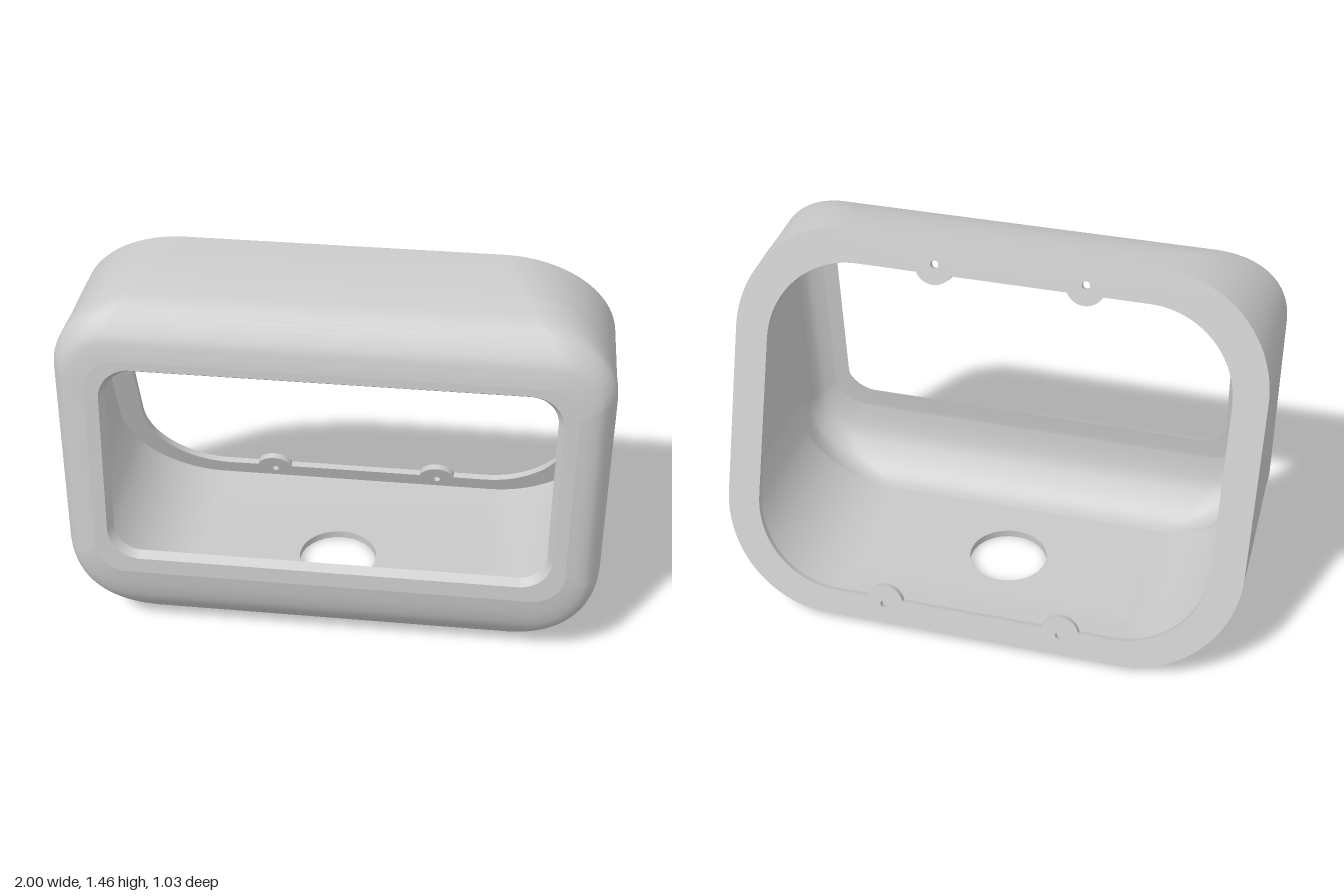
import * as THREE from 'three';
import { toCreasedNormals } from 'three/addons/utils/BufferGeometryUtils.js';

const ARC = 28;

// Ring = [half width, bottom z, bottom y, top z, top y, bottom corner radius, top corner radius]
function ringPoints([w, zb, yb, zt, yt, rb, rt]) {
  const len = Math.hypot(zt - zb, yt - yb);
  const corners = [[w - rb, rb, rb, -0.5], [w - rt, len - rt, rt, 0],
    [rt - w, len - rt, rt, 0.5], [rb - w, rb, rb, 1]];
  const pts = [];
  for (const [cx, cs, r, start] of corners) {
    for (let i = 0; i <= ARC; i++) {
      const a = (start + (0.5 * i) / ARC) * Math.PI;
      const t = (cs + r * Math.sin(a)) / len;
      pts.push(cx + r * Math.cos(a), yb + (yt - yb) * t, zb + (zt - zb) * t);
    }
  }
  return pts;
}

// Adds in-between rings on a spline through the rings from index first onwards
function smooth(rings, first, steps = 4) {
  const out = rings.slice(0, first + 1);
  for (let i = first; i < rings.length - 1; i++) {
    const p0 = rings[Math.max(i - 1, first)], p1 = rings[i], p2 = rings[i + 1];
    const p3 = rings[Math.min(i + 2, rings.length - 1)];
    for (let s = 1; s <= steps; s++) {
      const t = s / steps;
      out.push(p1.map((v, k) => {
        const m1 = (p2[k] - p0[k]) / 2, m2 = (p3[k] - v) / 2, d = p2[k] - v;
        return v + m1 * t + (3 * d - 2 * m1 - m2) * t * t + (m1 + m2 - 2 * d) * t * t * t;
      }));
    }
  }
  return out;
}

// Smooth skin through a list of rings; skip = ring span whose bottom flat is left open
function loft(rings, skip = -1) {
  const n = 4 * (ARC + 1), full = [], open = [];
  for (let i = 0; i < rings.length - 1; i++) {
    for (let j = 0; j < n; j++) {
      const k = (j + 1) % n;
      const a = i * n + j, b = i * n + k, c = a + n, d = b + n;
      full.push(a, b, d, a, d, c);
      if (i !== skip || j !== n - 1) open.push(a, b, d, a, d, c);
    }
  }
  const g = new THREE.BufferGeometry();
  g.setAttribute('position', new THREE.Float32BufferAttribute(rings.flatMap(ringPoints), 3));
  g.setIndex(full);
  g.computeVertexNormals();
  g.setIndex(open);
  return g;
}

function circle(x, y, r) {
  return new THREE.Path().absarc(x, y, r, 0, Math.PI * 2, false);
}

function extrude(shape, depth) {
  const g = new THREE.ExtrudeGeometry(shape, { depth, bevelEnabled: false, curveSegments: ARC / 2 });
  return toCreasedNormals(g, 0.5);
}

// Rounded rectangle with optional round screw bosses biting inwards from its bottom and top edges
function outline(path, w, s0, s1, r, bosses = []) {
  const boss = ({ x, s, r: br }, edge, top) => {
    const a = Math.asin(Math.abs(s - edge) / br);
    if (top) path.absarc(x, s, br, -a, -Math.PI + a, true);
    else path.absarc(x, s, br, Math.PI - a, a, true);
  };
  path.moveTo(r - w, s0);
  bosses.filter(b => b.s < 0).sort((a, b) => a.x - b.x).forEach(b => boss(b, s0, false));
  path.absarc(w - r, s0 + r, r, -Math.PI / 2, 0, false);
  path.absarc(w - r, s1 - r, r, 0, Math.PI / 2, false);
  bosses.filter(b => b.s > 0).sort((a, b) => b.x - a.x).forEach(b => boss(b, s1, true));
  path.absarc(r - w, s1 - r, r, Math.PI / 2, Math.PI, false);
  path.absarc(r - w, s0 + r, r, Math.PI, Math.PI * 1.5, false);
  return path;
}

export function createModel() {
  const model = new THREE.Group();
  model.name = 'displayHousing';
  const grey = new THREE.MeshStandardMaterial({ color: 0xc8c8c8 });
  grey.name = 'grey';
  const add = (name, geometry, parent = model) => {
    const mesh = new THREE.Mesh(geometry, grey);
    mesh.name = name;
    parent.add(mesh);
    return mesh;
  };

  // Outer skin, from the slanted back edge to the front face
  const outer = [
    [1, -0.515, 0.035, 0, 1.46, 0.43, 0.43],
    [1, -0.25, 0, 0.1, 1.45, 0.43, 0.4],
    [1, 0.3, 0, 0.2, 1.427, 0.43, 0.36],
    [1, 0.36, 0.02, 0.3, 1.39, 0.38, 0.3],
    [0.992, 0.42, 0.07, 0.36, 1.345, 0.3, 0.23],
    [0.957, 0.48, 0.15, 0.41, 1.28, 0.21, 0.17],
    [0.92, 0.507, 0.225, 0.428, 1.23, 0.16, 0.14],
    [0.87, 0.52, 0.31, 0.437, 1.19, 0.12, 0.12],
  ];
  add('outerShell', loft(smooth(outer, 2), 1));

  // Front face and chamfer of the window opening
  const chamferOut = [0.82, 0.514, 0.37, 0.44, 1.16, 0.12, 0.12];
  const chamferIn = [0.8, 0.483, 0.39, 0.412, 1.14, 0.1, 0.1];
  add('frontFace', loft([outer[7], chamferOut]));
  add('openingChamfer', loft([chamferOut, chamferIn]));

  // Inner skin of the thin wall, from the window back to the lip
  const inner = [...smooth([
    [0.97, -0.482, 0.055, 0.0135, 1.4235, 0.4, 0.4],
    [0.97, -0.25, 0.03, 0.1, 1.42, 0.4, 0.37],
    [0.97, 0.3, 0.03, 0.2, 1.395, 0.4, 0.33],
    [0.97, 0.345, 0.045, 0.287, 1.361, 0.35, 0.27],
    [0.962, 0.398, 0.09, 0.34, 1.322, 0.27, 0.2],
    [0.932, 0.454, 0.167, 0.384, 1.265, 0.19, 0.15],
    [0.9, 0.478, 0.235, 0.4, 1.222, 0.15, 0.13],
    [0.86, 0.49, 0.315, 0.408, 1.185, 0.12, 0.12],
  ], 2), chamferIn].reverse();
  add('innerShell', loft(inner, inner.length - 3));

  // Slanted back rim and inward lip with four drilled screw bosses
  const bosses = [
    { x: -0.345, s: -0.68, r: 0.075 }, { x: 0.345, s: -0.68, r: 0.075 },
    { x: -0.31, s: 0.6625, r: 0.075 }, { x: 0.25, s: 0.6625, r: 0.075 },
  ];
  const lipShape = (inset) => {
    const s = 0.7575 - inset;
    const shape = outline(new THREE.Shape(), 1 - inset, -s, s, 0.43 - inset);
    shape.holes.push(outline(new THREE.Path(), 0.875, -0.6575, 0.6275, 0.33, bosses));
    for (const b of bosses) shape.holes.push(circle(b.x, b.s, 0.015));
    return shape;
  };
  const back = new THREE.Group();
  back.name = 'slantedBack';
  back.position.set(0, 0.7475, -0.2575);
  back.rotation.x = Math.atan2(0.515, 1.425);
  model.add(back);
  add('backRim', extrude(lipShape(0), 0.003), back);
  add('backLip', extrude(lipShape(0.03), 0.022), back).position.z = 0.003;

  // Floor panel: cable hole right through, four blind fixing holes from below
  const floorLayer = (name, y, blindHoles) => {
    const shape = new THREE.Shape([[-0.57, -0.25], [0.57, -0.25], [0.57, 0.3], [-0.57, 0.3]]
      .map(([x, z]) => new THREE.Vector2(x, z)));
    shape.holes.push(circle(-0.02, 0, 0.155));
    for (const [sx, sz] of blindHoles) shape.holes.push(circle(-0.02 + sx * 0.28, sz * 0.09, 0.016));
    add(name, extrude(shape, 0.015).rotateX(Math.PI / 2).translate(0, y + 0.015, 0));
  };
  floorLayer('floorUnderside', 0, [[-1, -1], [-1, 1], [1, -1], [1, 1]]);
  floorLayer('floorTop', 0.015, []);

  return model;
}
